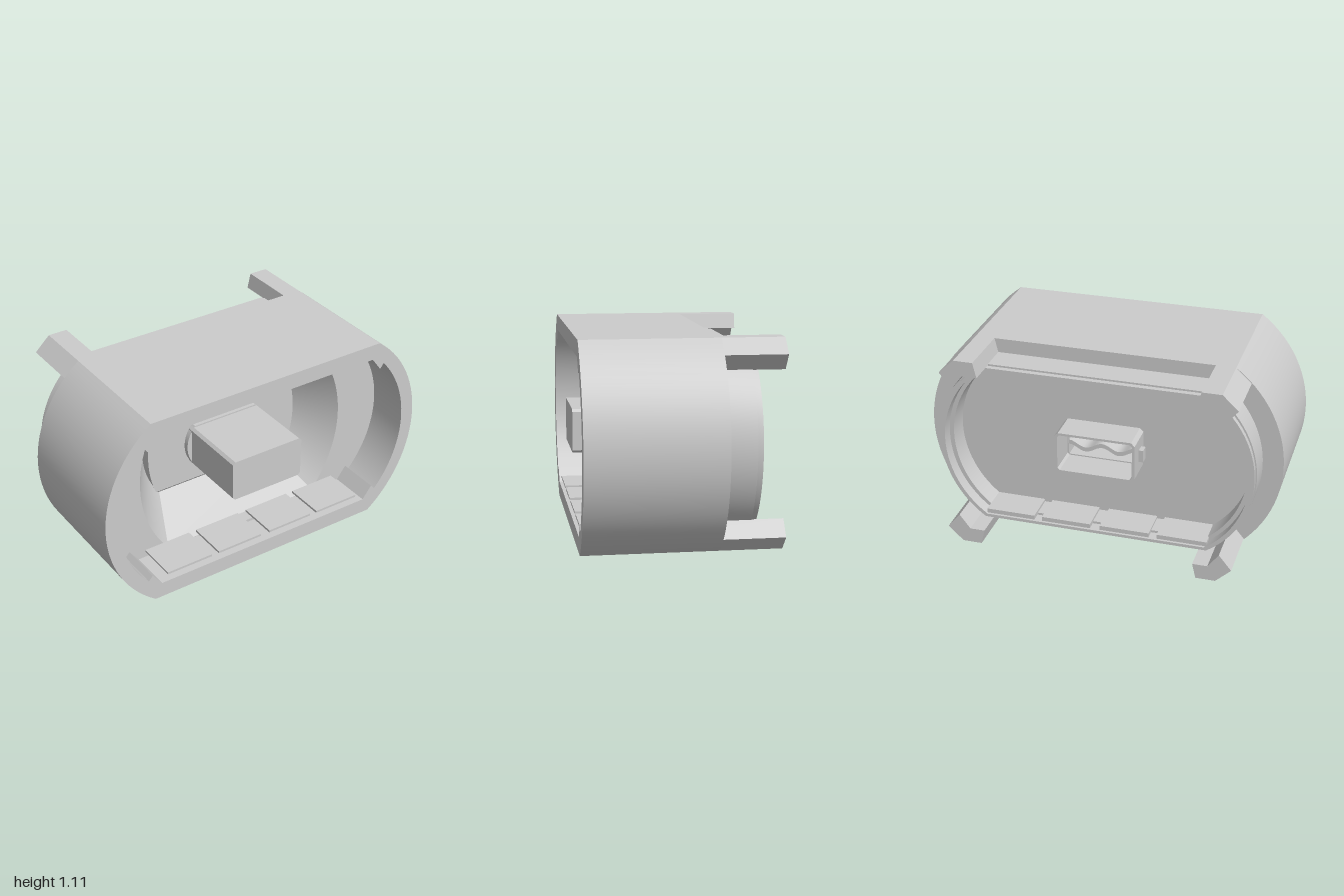
import * as THREE from 'three';
import { toCreasedNormals } from 'three/addons/utils/BufferGeometryUtils.js';

const CY = 0.555, ARC = 28;

// Flat top and bottom (half width hw, half height hh), bowed sides reaching x = bulge.
function outline(hw, hh, bulge) {
  const s = bulge - hw, r = (hh * hh + s * s) / (2 * s), a = Math.asin(Math.min(1, hh / r));
  const side = [];
  for (let i = 0; i <= ARC; i++) {
    const t = -a + (2 * a * i) / ARC;
    side.push([bulge - r + r * Math.cos(t), r * Math.sin(t)]);
  }
  return [...side, ...side.map(([x, y]) => [-x, -y])];
}

// Skin joining a list of [outline, z] rings.
function loft(rings) {
  const pos = [], n = rings[0][0].length;
  for (let k = 0; k < rings.length - 1; k++) {
    const [A, za] = rings[k], [B, zb] = rings[k + 1];
    for (let i = 0; i < n; i++) {
      const j = (i + 1) % n;
      const a = [...A[i], za], b = [...A[j], za], c = [...B[j], zb], d = [...B[i], zb];
      pos.push(...a, ...b, ...c, ...a, ...c, ...d);
    }
  }
  const g = new THREE.BufferGeometry();
  g.setAttribute('position', new THREE.Float32BufferAttribute(pos, 3));
  return toCreasedNormals(g, 0.4);
}

const shapeOf = (pts) => new THREE.Shape(pts.map(([x, y]) => new THREE.Vector2(x, y)));
const chamferRect = (w, h, c) => [
  [w - c, -h], [w, -h + c], [w, h - c], [w - c, h],
  [-w + c, h], [-w, h - c], [-w, -h + c], [-w + c, -h],
];

function prism(pts, z0, z1, hole) {
  const s = shapeOf(pts);
  if (hole) s.holes.push(shapeOf(hole));
  return new THREE.ExtrudeGeometry(s, { depth: z1 - z0, bevelEnabled: false }).translate(0, 0, z0);
}

export function createModel() {
  const group = new THREE.Group();
  const mat = new THREE.MeshStandardMaterial({ color: 0xcccccc });
  const add = (name, geo, x = 0, y = CY, z = 0) => {
    const m = new THREE.Mesh(geo, mat);
    m.name = name;
    m.position.set(x, y, z);
    group.add(m);
  };

  // Housing: rear socket, stepped rear lip, outer wall, front cavity, funnel and raised centre
  const outer = outline(0.72, 0.555, 1);
  const lip = outline(0.645, 0.475, 0.887);
  const lipStep = outline(0.635, 0.465, 0.88);
  const lipInner = outline(0.625, 0.448, 0.855);
  const ledge = outline(0.61, 0.435, 0.83);
  const cavity = outline(0.712, 0.465, 0.92);
  const funnel = outline(0.49, 0.463, 0.655);
  const groove = outline(0.385, 0.2875, 0.485);
  const boss = outline(0.44, 0.2325, 0.484);
  const socket = outline(0.2, 0.1, 0.203);
  const centre = outline(0.01, 0.01, 0.012);
  add('housing', loft([
    [centre, -0.02], [socket, -0.02], [socket, -0.19], [ledge, -0.19], [ledge, -0.32],
    [lipInner, -0.32], [lipInner, -0.39], [lipStep, -0.39], [lipStep, -0.36],
    [lip, -0.36], [lip, -0.2], [outer, -0.2], [outer, 0.53],
    [cavity, 0.53], [cavity, 0.29], [funnel, 0.29], [groove, 0.03], [boss, 0.09], [centre, 0.09],
  ]));

  // Four corner rails running the full depth and reaching out behind
  const rail = [[0.612, 0.555], [0.592, 0.47], [0.675, 0.47], [0.735, 0.39], [0.805, 0.475], [0.72, 0.555]];
  for (const sx of [1, -1]) for (const sy of [1, -1]) {
    add('cornerRail', prism(rail.map(([x, y]) => [x * sx, y * sy]), -0.53, 0.53));
  }

  // Plug in the front cavity with its round-sided flange
  add('plug', prism(chamferRect(0.222, 0.12, 0.015), 0.08, 0.52), 0, 0.56);
  add('plugFlange', prism(outline(0.2, 0.128, 0.25), 0.08, 0.12), 0, 0.56);

  // Hollow rear connector with side nubs and a wavy contact strip
  add('rearConnector', prism(chamferRect(0.225, 0.12, 0.02), -0.37, -0.18, chamferRect(0.21, 0.107, 0.012)));
  for (const sx of [1, -1]) add('connectorNub', new THREE.BoxGeometry(0.04, 0.07, 0.05), sx * 0.23, CY, -0.26);
  const strip = new THREE.BoxGeometry(0.38, 0.025, 0.2, 24, 1, 1);
  const p = strip.attributes.position;
  for (let i = 0; i < p.count; i++) p.setY(i, p.getY(i) + 0.018 * Math.cos(p.getX(i) * 33));
  strip.computeVertexNormals();
  add('contactStrip', strip, 0, 0.53, -0.12);

  // Rows of thin pads above the floor, front and rear
  for (const x of [-0.495, -0.17, 0.165, 0.49]) {
    add('frontPad', new THREE.BoxGeometry(0.28, 0.013, 0.23), x, 0.1285, 0.405);
    add('rearPad', new THREE.BoxGeometry(0.28, 0.025, 0.19), x, 0.1225, -0.285);
  }

  // Small keys at the top and bottom of the funnel mouth
  for (const y of [1.015, 0.098]) add('key', new THREE.BoxGeometry(0.27, 0.016, 0.08), 0, y, 0.3);
  return group;
}
